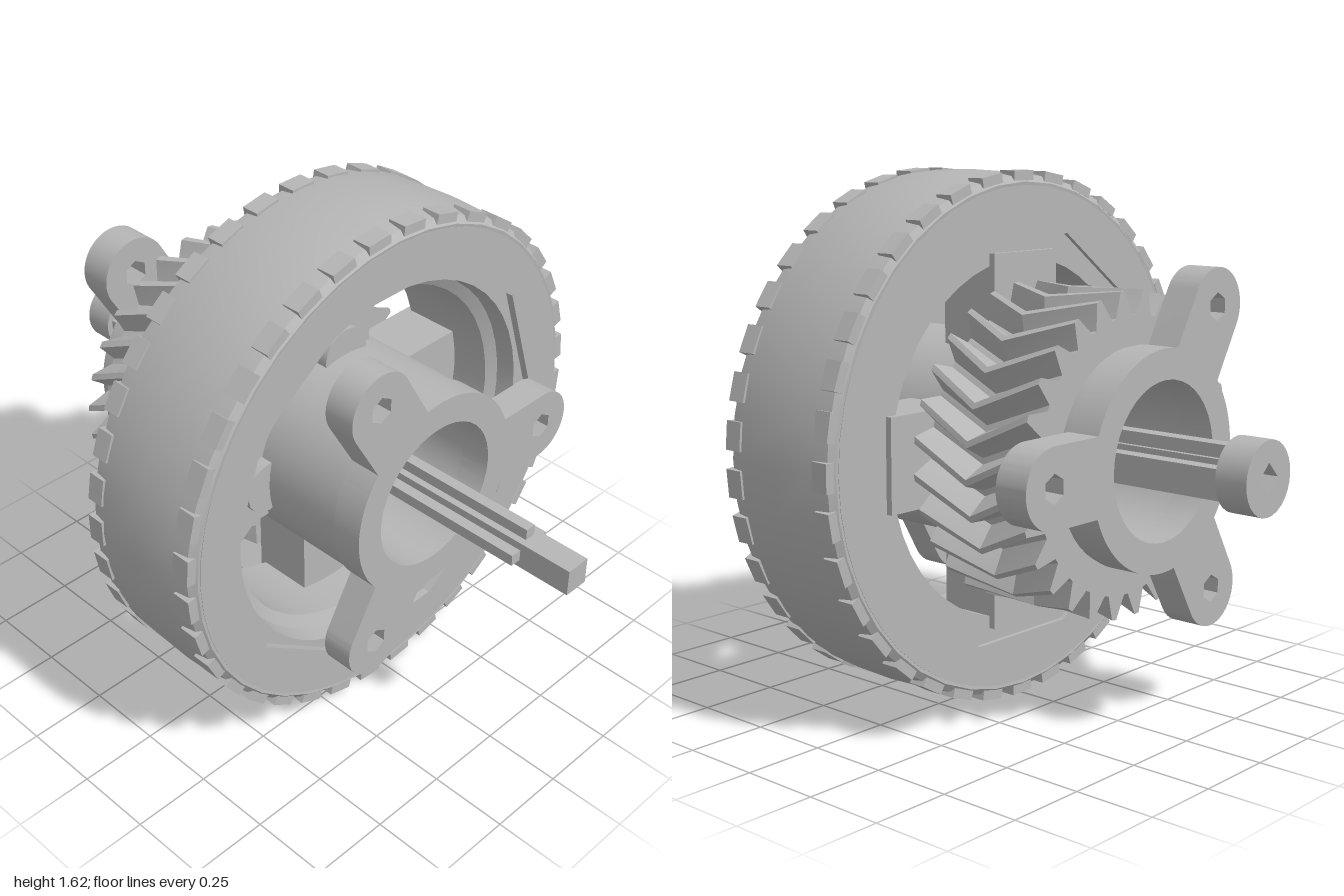
import * as THREE from 'three';
import { toCreasedNormals } from 'three/addons/utils/BufferGeometryUtils.js';

const AXIS_Y = 0.81;
const TAU = Math.PI * 2;

export function createModel() {
  const grey = new THREE.MeshStandardMaterial({ color: 0xb6b6b6 });
  grey.name = 'machined grey';
  const group = new THREE.Group();
  group.name = 'gearedWheel';
  const wheel = new THREE.Group();
  wheel.name = 'wheelAssembly';
  wheel.position.y = AXIS_Y;
  group.add(wheel);

  function add(name, geometry, parent = wheel) {
    const mesh = new THREE.Mesh(toCreasedNormals(geometry, 0.5), grey);
    mesh.name = name;
    parent.add(mesh);
    return mesh;
  }

  // Regular polygon points
  function ngon(n, r, cx = 0, cy = 0, turn = 0) {
    return Array.from({ length: n }, (_, i) => {
      const a = turn + (i / n) * TAU;
      return new THREE.Vector2(cx + r * Math.cos(a), cy + r * Math.sin(a));
    });
  }
  const hole = (...args) => new THREE.Path(ngon(...args));

  // Flat plate between two depths
  function plate(shape, z0, z1, steps = 1) {
    return new THREE.ExtrudeGeometry(shape, {
      depth: z1 - z0, steps, bevelEnabled: false, curveSegments: 20,
    }).translate(0, 0, z0);
  }

  // Closed profile of [radius, z] pairs spun about the axle
  function spin(profile, segments = 48) {
    const points = [...profile, profile[0]].map(([r, z]) => new THREE.Vector2(r, z));
    return new THREE.LatheGeometry(points, segments).rotateX(Math.PI / 2);
  }

  function box(name, w, h, z0, z1, x = 0, y = 0, parent = wheel) {
    const g = new THREE.BoxGeometry(w, h, z1 - z0).translate(x, y, (z0 + z1) / 2);
    return add(name, g, parent);
  }

  // Tyre: rounded tread band around a wall with a ten-sided opening
  add('tyreTread', spin([
    [0.74, -0.12], [0.775, -0.125], [0.795, -0.11], [0.803, -0.06],
    [0.808, 0.09], [0.803, 0.24], [0.795, 0.285], [0.775, 0.305], [0.74, 0.3],
  ], 40));
  const wall = new THREE.Shape(ngon(48, 0.765));
  wall.holes.push(hole(10, 0.645));
  add('tyreWall', plate(wall, -0.125, 0.305));

  // Shoulder lugs, staggered on the two edges of the tread
  const lugs = new THREE.Group();
  lugs.name = 'shoulderLugs';
  wheel.add(lugs);
  const lugCount = 36;
  for (let i = 0; i < lugCount; i++) {
    for (const [z0, z1, shift] of [[-0.122, -0.065, 0], [0.24, 0.3, 0.5]]) {
      const lug = box('shoulderLug', 0.03, 0.085, z0, z1, 0.793, 0, lugs);
      lug.rotation.z = ((i + shift) / lugCount) * TAU;
    }
  }

  // Rim ring with a stepped lip
  add('rim', spin([
    [0.55, -0.11], [0.66, -0.11], [0.66, 0.28], [0.595, 0.28],
    [0.585, 0.22], [0.55, 0.2],
  ]));

  // Four spokes with round bosses near the hub
  for (let i = 0; i < 4; i++) {
    const spoke = new THREE.Group();
    spoke.name = 'spoke';
    spoke.rotation.z = (i * Math.PI) / 2;
    wheel.add(spoke);
    box('spokeBlock', 0.28, 0.28, -0.13, 0.07, 0.43, 0, spoke);
    add('spokeBoss', new THREE.CylinderGeometry(0.085, 0.085, 0.06, 16)
      .rotateX(Math.PI / 2).translate(0.32, 0, 0.08), spoke);
  }

  // Hub tube and its drilled inner disc
  add('hubTube', spin([[0.235, -0.64], [0.32, -0.64], [0.32, 0.47], [0.235, 0.47]]));
  const web = new THREE.Shape(ngon(32, 0.25));
  for (let i = 0; i < 4; i++) {
    const a = Math.PI / 4 + (i * Math.PI) / 2;
    web.holes.push(hole(5, 0.04, 0.178 * Math.cos(a), 0.178 * Math.sin(a), a));
  }
  add('hubDisc', plate(web, -0.12, 0.05));

  // Herringbone gear: toothed plate twisted to a chevron at mid width
  const teeth = 28;
  const outline = [];
  for (let i = 0; i < teeth; i++) {
    for (const [t, r] of [[0, 0.41], [0.2, 0.41], [0.5, 0.482], [0.68, 0.482]]) {
      const a = ((i + t) / teeth) * TAU;
      outline.push(new THREE.Vector2(r * Math.cos(a), r * Math.sin(a)));
    }
  }
  const gearShape = new THREE.Shape(outline);
  gearShape.holes.push(hole(40, 0.3));
  const gear = plate(gearShape, -0.53, -0.13, 2);
  const p = gear.attributes.position;
  for (let i = 0; i < p.count; i++) {
    const a = -0.2 * (1 - Math.abs(p.getZ(i) + 0.33) / 0.2);
    const x = p.getX(i), y = p.getY(i);
    p.setXY(i, x * Math.cos(a) - y * Math.sin(a), x * Math.sin(a) + y * Math.cos(a));
  }
  add('herringboneGear', gear);

  // Three-armed mounting flanges with hexagonal bolt holes
  const flange = new THREE.Shape();
  const armR = 0.115, armC = 0.487, ringR = 0.325;
  const join = Math.asin(armR / ringR);
  for (let i = 0; i < 3; i++) {
    const a = (i * TAU) / 3;
    flange.absarc(armC * Math.cos(a), armC * Math.sin(a), armR, a - Math.PI / 2, a + Math.PI / 2);
    flange.absarc(0, 0, ringR, a + join, a + TAU / 3 - join);
  }
  flange.holes.push(hole(40, 0.235));
  for (let i = 0; i < 3; i++) {
    const a = (i * TAU) / 3;
    flange.holes.push(hole(6, 0.042, armC * Math.cos(a), armC * Math.sin(a), Math.PI / 6));
  }
  add('frontFlange', plate(flange, 0.38, 0.48));
  add('backFlange', plate(flange, -0.655, -0.55));

  // Axle: square core with ribs, and a round cap with a square socket
  box('axleCore', 0.08, 0.084, -0.93, 1);
  box('frontSideRibs', 0.15, 0.035, 0, 0.83);
  box('frontTopRib', 0.035, 0.06, 0, 0.83, 0, 0.047);
  box('backSideRibs', 0.175, 0.05, -0.92, 0);
  box('backUprightRibs', 0.05, 0.16, -0.92, 0);
  const cap = new THREE.Shape(ngon(28, 0.108));
  cap.holes.push(hole(4, 0.045));
  add('axleCap', plate(cap, -1, -0.9));

  return group;
}
